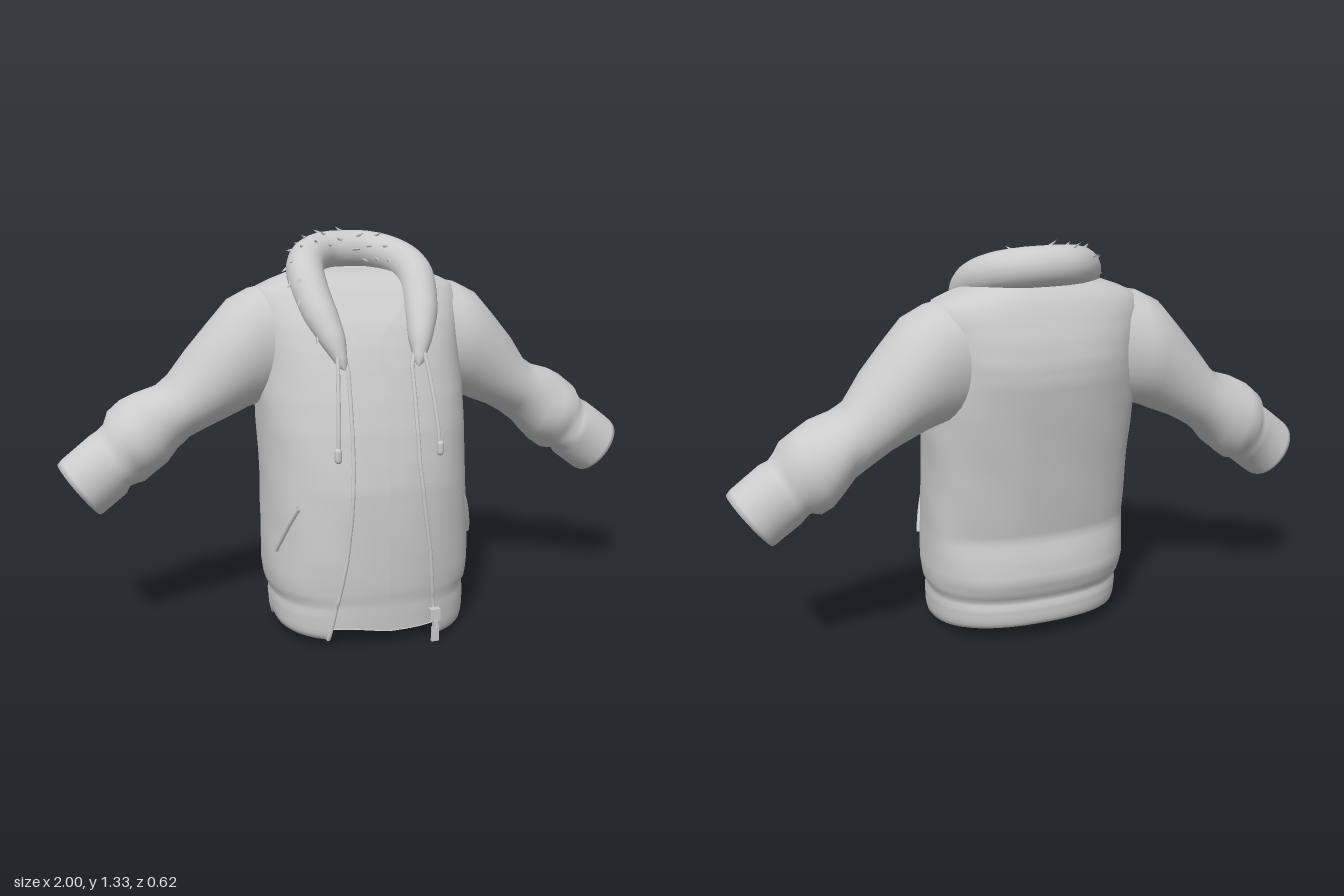
import * as THREE from 'three';

const cloth = new THREE.MeshStandardMaterial({ color: 0xcccccc, side: THREE.DoubleSide });
const V = (x, y, z) => new THREE.Vector3(x, y, z);

// Piecewise interpolation of a table whose first column is the key
function lookup(table, k) {
  if (k <= table[0][0]) return table[0].slice(1);
  for (let i = 1; i < table.length; i++) {
    const a = table[i - 1], b = table[i];
    if (k <= b[0]) {
      const t = (k - a[0]) / (b[0] - a[0]);
      return a.slice(1).map((v, c) => v + (b[c + 1] - v) * t);
    }
  }
  return table[table.length - 1].slice(1);
}

// Skin a list of equal-length cross-sections
function loft(name, rows, closed) {
  const n = rows[0].length, idx = [];
  for (let i = 0; i < rows.length - 1; i++) {
    for (let j = 0; j < (closed ? n : n - 1); j++) {
      const k = (j + 1) % n, a = i * n + j, b = i * n + k;
      idx.push(a, b, a + n, b, b + n, a + n);
    }
  }
  const g = new THREE.BufferGeometry().setFromPoints(rows.flat());
  g.setIndex(idx);
  g.computeVertexNormals();
  const m = new THREE.Mesh(g, cloth);
  m.name = name;
  return m;
}

function tube(name, pts, r, seg = 40) {
  const m = new THREE.Mesh(new THREE.TubeGeometry(new THREE.CatmullRomCurve3(pts), seg, r, 8), cloth);
  m.name = name;
  return m;
}

// Torso: height, half width, front z, back z
const torso = [
  [0, .325, .283, -.225], [.03, .332, .29, -.232], [.1, .335, .293, -.232], [.135, .33, .293, -.222],
  [.165, .345, .298, -.238], [.22, .352, .301, -.254], [.29, .352, .303, -.245], [.36, .35, .303, -.226],
  [.43, .35, .302, -.238], [.52, .348, .298, -.252], [.6, .348, .285, -.264], [.7, .352, .264, -.28],
  [.8, .352, .235, -.296], [.9, .345, .2, -.311], [.96, .345, .175, -.311], [1.03, .35, .137, -.298],
  [1.1, .355, .08, -.273], [1.14, .335, .05, -.255], [1.17, .27, .02, -.237], [1.2, .17, -.03, -.205]];
// Opening edge: height, distance to the right, distance to the left
const opening = [
  [0, .2, .165], [.15, .175, .15], [.3, .147, .135], [.45, .13, .115], [.6, .12, .1],
  [.9, .112, .102], [1, .135, .135], [1.1, .17, .17], [1.2, .165, .165]];

function torsoPoint(y, th, s = 1) {
  const [w, f, b] = lookup(torso, y), zc = .03 - .12 * Math.min(1, y / 1.1);
  const sx = Math.sin(th), cz = Math.cos(th), p = 2 / 2.4;
  const x = w * s * Math.sign(sx) * Math.abs(sx) ** p;
  const z = zc + (cz > 0 ? f - zc : zc - b) * s * Math.sign(cz) * Math.abs(cz) ** p;
  // the hem rises towards the back and slightly on the right flap
  const k = Math.max(0, 1 - y / .16);
  const lift = .055 * (.29 - z) / .52 + (x < 0 && z > 0 ? .02 * Math.min(1, -x / .1) : 0);
  const fold = y > .16 && y < 1 ? .004 * Math.sin(7 * th + 9 * y) * Math.sin(14 * y) : 0;
  return V(x * (1 + fold), y + .006 + lift * k, z * (1 + fold));
}
const edgeAngle = (y, e, s = 1) => Math.asin(Math.min(.97, e / (lookup(torso, y)[0] * s)) ** 1.2);

function torsoRow(y, s, right, left, n = 72) {
  const a = edgeAngle(y, left, s), b = 2 * Math.PI - edgeAngle(y, right, s);
  return Array.from({ length: n + 1 }, (_, j) => torsoPoint(y, a + (b - a) * j / n, s));
}

// Sleeve: top x, y, bottom x, y, half depth, centre z
const sleeveRings = [
  [.25, 1.165, .25, .77, .14, -.1], [.36, 1.143, .335, .765, .165, -.1], [.43, 1.108, .38, .75, .163, -.1],
  [.5, 1.03, .43, .727, .152, -.1], [.57, .945, .5, .695, .138, -.105], [.63, .865, .57, .66, .127, -.11],
  [.67, .838, .615, .627, .126, -.112], [.74, .812, .65, .58, .132, -.112], [.79, .787, .69, .545, .137, -.112],
  [.833, .758, .725, .525, .132, -.11], [.848, .718, .752, .522, .112, -.1], [.868, .695, .772, .512, .116, -.097],
  [.893, .685, .785, .492, .113, -.092], [.94, .65, .83, .457, .102, -.087], [.985, .615, .862, .434, .105, -.085],
  [.998, .6, .872, .43, .102, -.085], [.985, .592, .878, .447, .085, -.085], [.93, .61, .84, .5, .07, -.085],
  [.85, .59, .85, .59, 0, -.085]];

function sleeve(side, name) {
  const rows = sleeveRings.map((r, i) => Array.from({ length: 36 }, (_, j) => {
    const t = j / 36 * 2 * Math.PI;
    const wr = i > 3 && i < 12 ? 1 + .03 * Math.sin(3 * t + i * 1.9) : 1;
    const c = Math.cos(t) * wr;
    return V(side * ((r[0] + r[2]) / 2 + (r[0] - r[2]) / 2 * c),
      (r[1] + r[3]) / 2 + (r[1] - r[3]) / 2 * c, r[5] + r[4] * Math.sin(t) * wr);
  }));
  return loft(name, rows, true);
}

function furCollar() {
  const g = new THREE.Group();
  g.name = 'furCollar';
  const half = [[.08, 1.25, -.187], [.15, 1.23, -.125], [.186, 1.185, -.03], [.176, 1.09, .065],
    [.147, .995, .145], [.124, .905, .198]];
  const path = new THREE.CatmullRomCurve3([
    ...half.slice().reverse().map(p => V(-p[0], p[1], p[2])), V(0, 1.253, -.2), ...half.map(p => V(...p))]);
  const N = 72, frames = path.computeFrenetFrames(N, false);
  const radius = u => lookup([[0, .064], [.5, .062], [.7, .056], [.85, .04], [.97, .016], [1, 0]], Math.abs(2 * u - 1))[0];
  const on = (i, t, grow = 1) => path.getPointAt(i / N)
    .addScaledVector(frames.normals[i], Math.cos(t) * radius(i / N) * grow)
    .addScaledVector(frames.binormals[i], Math.sin(t) * radius(i / N) * grow);
  g.add(loft('collarRoll', Array.from({ length: N + 1 }, (_, i) =>
    Array.from({ length: 20 }, (_, j) => on(i, -j / 20 * 2 * Math.PI))), true));
  // small fur tufts scattered over the roll
  const cone = new THREE.ConeGeometry(.008, .036, 5);
  for (let k = 0; k < 44; k++) {
    const i = 7 + (k * 23) % 59, t = k * 2.4;
    const dir = on(i, t).sub(path.getPointAt(i / N)).normalize()
      .addScaledVector(frames.tangents[i], i < N / 2 ? -1.3 : 1.3).normalize();
    const m = new THREE.Mesh(cone, cloth);
    m.name = 'furTuft';
    m.position.copy(on(i, t, .98)).addScaledVector(dir, .008);
    m.quaternion.setFromUnitVectors(V(0, 1, 0), dir);
    g.add(m);
  }
  return g;
}

export function createModel() {
  const model = new THREE.Group();
  model.name = 'hoodedJacket';
  const heights = Array.from({ length: 61 }, (_, i) => i * .02);

  // Open jacket shell with a turned-in hem
  const shell = heights.map(y => torsoRow(y, 1, ...lookup(opening, y)));
  const inner = [.08, .01].map(y => torsoRow(y, .965, ...lookup(opening, y)));
  model.add(loft('jacketBody', [...inner, ...shell], false));

  // Shirt with a V neck and a closed bottom
  const shirtTop = heights.filter(y => y > .03 && y < 1.19);
  const vee = y => Math.max(0, (y - .98) * 1.05);
  const shirt = shirtTop.map(y => torsoRow(y, .94, vee(y), vee(y)));
  model.add(loft('shirt', shirt, false));
  model.add(loft('shirtBottom', [torsoRow(.04, .01, 0, 0), torsoRow(.04, .96, 0, 0)].reverse(), false));
  const neck = shirt.filter((_, i) => shirtTop[i] > .975).map(r => [r[r.length - 1], r[0]]);
  neck.push([V(-.16, 1.19, -.1), V(.16, 1.19, -.1)], [V(-.1, 1.2, -.2), V(.1, 1.2, -.2)]);
  model.add(loft('neckLining', neck, false));

  model.add(furCollar());

  for (const side of [1, -1]) {
    const label = side > 0 ? 'left' : 'right';
    model.add(sleeve(side, label + 'Sleeve'));

    // Zip edge along the opening
    const edge = shell.slice(0, 48).map(r => side > 0 ? r[0] : r[r.length - 1]);
    model.add(tube(label + 'ZipEdge', edge, .007, 90));

    // Drawstring with a knotted end
    model.add(tube(label + 'Drawstring', [V(side * .145, .95, .19), V(side * .152, .89, .215),
      V(side * .16, .8, .245), V(side * .166, .72, .265), V(side * .17, .64, .275)], .007));
    const knot = new THREE.Mesh(new THREE.CapsuleGeometry(.012, .025, 4, 10), cloth);
    knot.name = label + 'DrawstringEnd';
    knot.position.set(side * .171, .652, .275);
    model.add(knot);

    // Slanted pocket welt lying on the body
    const welt = [0, .25, .5, .75, 1].map(t => torsoPoint(.465 - .16 * t, side * (.88 + .36 * t), 1.006));
    model.add(tube(label + 'PocketWelt', welt, .009));
  }

  // Zip slider and pull tab
  const zip = new THREE.Group();
  zip.name = 'zipPull';
  for (const [w, h, d, y, z] of [[.034, .04, .022, .092, .292], [.014, .03, .016, .06, .3], [.026, .05, .008, .026, .3]]) {
    const m = new THREE.Mesh(new THREE.BoxGeometry(w, h, d), cloth);
    m.name = 'zipPart';
    m.position.set(.152, y, z);
    zip.add(m);
  }
  model.add(zip);
  return model;
}
